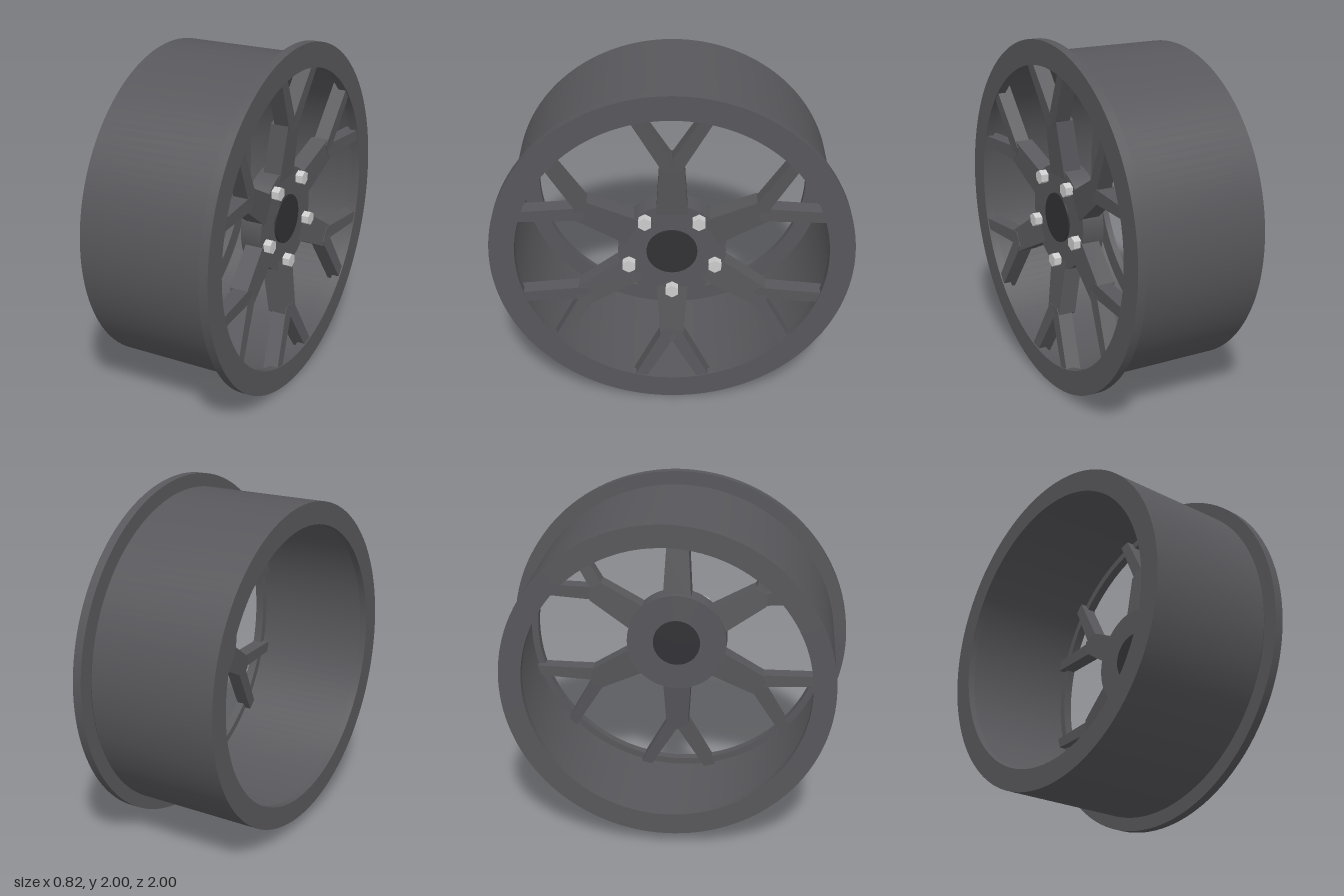
import * as THREE from 'three';
import { toCreasedNormals } from 'three/addons/utils/BufferGeometryUtils.js';

export function createModel() {
  const model = new THREE.Group();
  model.name = 'wheelRim';
  const metal = new THREE.MeshStandardMaterial({ color: 0x58585c });
  const dark = new THREE.MeshStandardMaterial({ color: 0x323236 });
  const steel = new THREE.MeshStandardMaterial({ color: 0xcccccc });

  // The wheel is built around +z, then turned so its outer face looks along +x
  const wheel = new THREE.Group();
  wheel.name = 'wheel';
  wheel.rotation.y = Math.PI / 2;
  wheel.position.y = 1;
  model.add(wheel);

  const add = (name, geometry, material, parent = wheel) => {
    const mesh = new THREE.Mesh(geometry, material);
    mesh.name = name;
    parent.add(mesh);
    return mesh;
  };

  // Closed ring from [radius, depth] points, outer wall first
  const ring = (name, profile) => {
    const points = [...profile, profile[0]].map(([r, d]) => new THREE.Vector2(r, d));
    const geometry = new THREE.LatheGeometry(points, 128).rotateX(Math.PI / 2);
    return add(name, toCreasedNormals(geometry, 0.5), metal);
  };

  // Solid disc or prism between two depths
  const disc = (name, radius, back, front, sides, material) => {
    const geometry = new THREE.CylinderGeometry(radius, radius, front - back, sides)
      .rotateX(Math.PI / 2)
      .translate(0, 0, (back + front) / 2);
    return add(name, toCreasedNormals(geometry, 0.5), material);
  };

  // Plate from outline points, leaning forward along a direction in its plane
  const leaningPlate = (outline, back, front, slope, dirX, dirY, startY) => {
    const shape = new THREE.Shape(outline.map(([x, y]) => new THREE.Vector2(x, y)));
    const geometry = new THREE.ExtrudeGeometry(shape, { depth: front - back, bevelEnabled: false })
      .translate(0, 0, back);
    const p = geometry.attributes.position;
    for (let i = 0; i < p.count; i++) {
      p.setZ(i, p.getZ(i) + slope * (p.getX(i) * dirX + (p.getY(i) - startY) * dirY));
    }
    geometry.computeVertexNormals();
    return geometry;
  };

  // Thin barrel with an inward flange at the back, and the wide front lip
  ring('barrel', [[0.8, -0.41], [0.926, -0.41], [0.926, 0.345], [0.915, 0.359],
    [0.9, 0.359], [0.9, -0.37], [0.8, -0.37]]);
  ring('lip', [[0.86, 0.358], [1, 0.358], [1, 0.41], [0.86, 0.41]]);

  // Hub and centre cap
  disc('hub', 0.297, 0.21, 0.335, 64, metal);
  disc('centreCap', 0.14, 0.205, 0.345, 48, dark);

  // Six forked spokes, rising from the hub to the lip
  const stem = leaningPlate(
    [[-0.088, 0.2], [0.088, 0.2], [0.066, 0.565], [0, 0.61], [-0.066, 0.565]],
    0.225, 0.33, 0.12, 0, 1, 0.2);
  const arms = [1, -1].map((s) => leaningPlate(
    [[0, 0.53], [s * 0.045, 0.53], [s * 0.066, 0.565], [s * 0.23, 0.872], [s * 0.172, 0.896], [0, 0.607]],
    0.283, 0.371, 0.09, s * 0.5, 0.87, 0.53));
  for (let i = 0; i < 6; i++) {
    const spoke = new THREE.Group();
    spoke.name = 'spoke';
    spoke.rotation.z = (i * Math.PI) / 3;
    wheel.add(spoke);
    add('spokeStem', stem, metal, spoke);
    arms.forEach((arm) => add('spokeArm', arm, metal, spoke));
  }

  // Five hexagonal wheel nuts
  for (let i = 0; i < 5; i++) {
    const a = -Math.PI / 2 + (i * 2 * Math.PI) / 5;
    const nut = disc('wheelNut', 0.04, 0.325, 0.379, 6, steel);
    nut.position.set(0.25 * Math.cos(a), 0.25 * Math.sin(a), 0);
  }
  return model;
}
